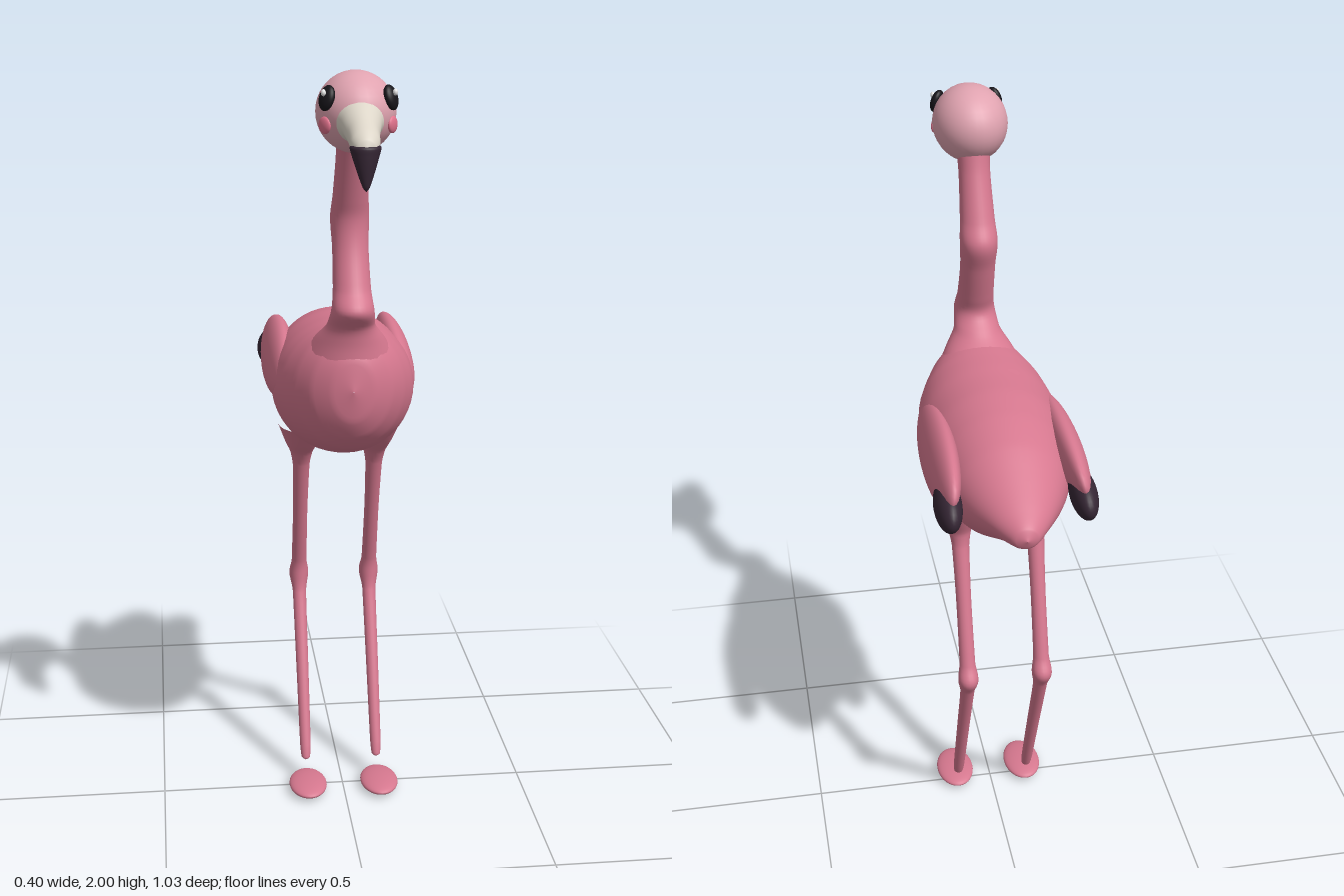
import * as THREE from 'three';

const paint = (name, color) => {
  const m = new THREE.MeshStandardMaterial({ color });
  m.name = name;
  return m;
};
const pink = paint('feather pink', 0xd6788f);
const pale = paint('pale pink', 0xe0a3b0);
const cream = paint('beak cream', 0xdcd5c8);
const dark = paint('dark plum', 0x352634);
const black = paint('eye black', 0x17151a);
const white = paint('eye glint', 0xffffff);
const blush = paint('cheek pink', 0xe0728c);

// Smooth skin over elliptical sections [x, y, z, radiusU, radiusV], listed in rising order along y or z
function loft(sections, axis, steps = 6, sides = 32) {
  const path = new THREE.CatmullRomCurve3(sections.map(s => new THREE.Vector3(s[0], s[1], s[2])));
  const size = new THREE.CatmullRomCurve3(sections.map(s => new THREE.Vector3(s[3], s[4], 0)));
  const rows = (sections.length - 1) * steps;
  const pos = [], index = [];
  for (let i = 0; i <= rows; i++) {
    const p = path.getPoint(i / rows), r = size.getPoint(i / rows);
    for (let j = 0; j < sides; j++) {
      const a = (j / sides) * Math.PI * 2;
      const u = Math.max(r.x, 0.0005) * Math.cos(a), v = Math.max(r.y, 0.0005) * Math.sin(a);
      if (axis === 'z') pos.push(p.x + u, p.y + v, p.z);
      else pos.push(p.x + v, p.y, p.z + u);
      if (i < rows) {
        const k = (j + 1) % sides, b = i * sides;
        index.push(b + j, b + k, b + sides + j, b + k, b + sides + k, b + sides + j);
      }
    }
  }
  const g = new THREE.BufferGeometry();
  g.setAttribute('position', new THREE.Float32BufferAttribute(pos, 3));
  g.setIndex(index);
  g.computeVertexNormals();
  return g;
}

export function createModel() {
  const group = new THREE.Group();
  const add = (name, geo, mat) => {
    const m = new THREE.Mesh(geo, mat);
    m.name = name;
    group.add(m);
    return m;
  };
  const ball = (name, mat, [x, y, z], [rx, ry, rz], rot = [0, 0, 0]) => {
    const m = add(name, new THREE.SphereGeometry(1, 32, 20), mat);
    m.position.set(x, y, z);
    m.scale.set(rx, ry, rz);
    m.rotation.set(...rot);
    return m;
  };

  // Body, from the tail tip to the chest
  add('body', loft([
    [0, 1.157, -0.513, 0.001, 0.001],
    [0, 1.157, -0.5, 0.032, 0.028],
    [0, 1.165, -0.45, 0.07, 0.052],
    [0, 1.167, -0.38, 0.11, 0.09],
    [0, 1.166, -0.3, 0.145, 0.134],
    [0, 1.163, -0.2, 0.17, 0.168],
    [0, 1.165, -0.1, 0.184, 0.181],
    [0, 1.168, 0, 0.186, 0.183],
    [0, 1.183, 0.1, 0.172, 0.174],
    [0, 1.2, 0.17, 0.141, 0.16],
    [0, 1.21, 0.22, 0.103, 0.127],
    [0, 1.215, 0.25, 0.055, 0.08],
    [0, 1.215, 0.263, 0.001, 0.001],
  ], 'z', 6, 48), pink);

  // Neck, flared at the base with two bends
  add('neck', loft([
    [0, 1.27, 0.12, 0.13, 0.125],
    [0, 1.33, 0.16, 0.09, 0.09],
    [0, 1.375, 0.2, 0.062, 0.06],
    [0, 1.42, 0.238, 0.06, 0.053],
    [0, 1.47, 0.215, 0.05, 0.047],
    [0, 1.56, 0.18, 0.046, 0.045],
    [0, 1.635, 0.162, 0.053, 0.048],
    [0, 1.69, 0.183, 0.047, 0.044],
    [0, 1.8, 0.225, 0.044, 0.04],
    [0, 1.87, 0.25, 0.05, 0.045],
  ], 'y'), pink);

  // Head and beak
  ball('head', pale, [0, 1.904, 0.288], [0.095, 0.096, 0.114]);
  add('beak', loft([
    [0, 1.895, 0.35, 0.065, 0.062],
    [0, 1.888, 0.4, 0.048, 0.045],
    [0, 1.868, 0.44, 0.038, 0.04],
    [0, 1.853, 0.48, 0.034, 0.033],
    [0, 1.845, 0.503, 0.022, 0.02],
    [0, 1.843, 0.511, 0.001, 0.001],
  ], 'z'), cream);
  add('beakTip', loft([
    [0, 1.748, 0.498, 0.001, 0.001],
    [0, 1.757, 0.497, 0.008, 0.008],
    [0, 1.79, 0.491, 0.019, 0.02],
    [0, 1.825, 0.484, 0.029, 0.031],
    [0, 1.845, 0.482, 0.031, 0.036],
    [0, 1.862, 0.48, 0.001, 0.001],
  ], 'y'), dark);

  for (const [side, s] of [['left', 1], ['right', -1]]) {
    // Face details
    ball(side + 'Eye', black, [s * 0.074, 1.942, 0.352], [0.014, 0.03, 0.023], [0, s * -0.6, s * 0.3]);
    ball(side + 'EyeGlint', white, [s * 0.083, 1.955, 0.362], [0.006, 0.008, 0.007]);
    ball(side + 'Cheek', blush, [s * 0.079, 1.88, 0.35], [0.008, 0.02, 0.02], [0, s * -0.6, 0]);

    // Folded wing with a dark tip
    ball(side + 'Wing', pink, [s * 0.16, 1.21, -0.165], [0.039, 0.086, 0.255], [0.06, 0, s * 0.18]);
    ball(side + 'WingTip', dark, [s * 0.167, 1.183, -0.363], [0.034, 0.05, 0.086], [-0.14, 0, s * 0.1]);

    // Leg, from the ankle through the bent knee to the thigh
    add(side + 'Leg', loft([
      [0, 0.058, -0.037, 0.001, 0.001],
      [0, 0.066, -0.04, 0.013, 0.012],
      [0, 0.1, -0.053, 0.016, 0.015],
      [0, 0.3, -0.135, 0.018, 0.017],
      [0, 0.5, -0.219, 0.021, 0.019],
      [0, 0.55, -0.236, 0.032, 0.027],
      [0, 0.595, -0.222, 0.022, 0.021],
      [0, 0.75, -0.174, 0.021, 0.02],
      [0, 0.91, -0.125, 0.024, 0.023],
      [0, 0.95, -0.112, 0.034, 0.03],
      [0, 0.985, -0.1, 0.06, 0.045],
      [0, 1.04, -0.085, 0.1, 0.065],
    ], 'y', 5, 20), pink).position.x = s * 0.1;
    ball(side + 'Foot', pink, [s * 0.1, 0.018, 0.029], [0.052, 0.017, 0.083]);
  }
  return group;
}
